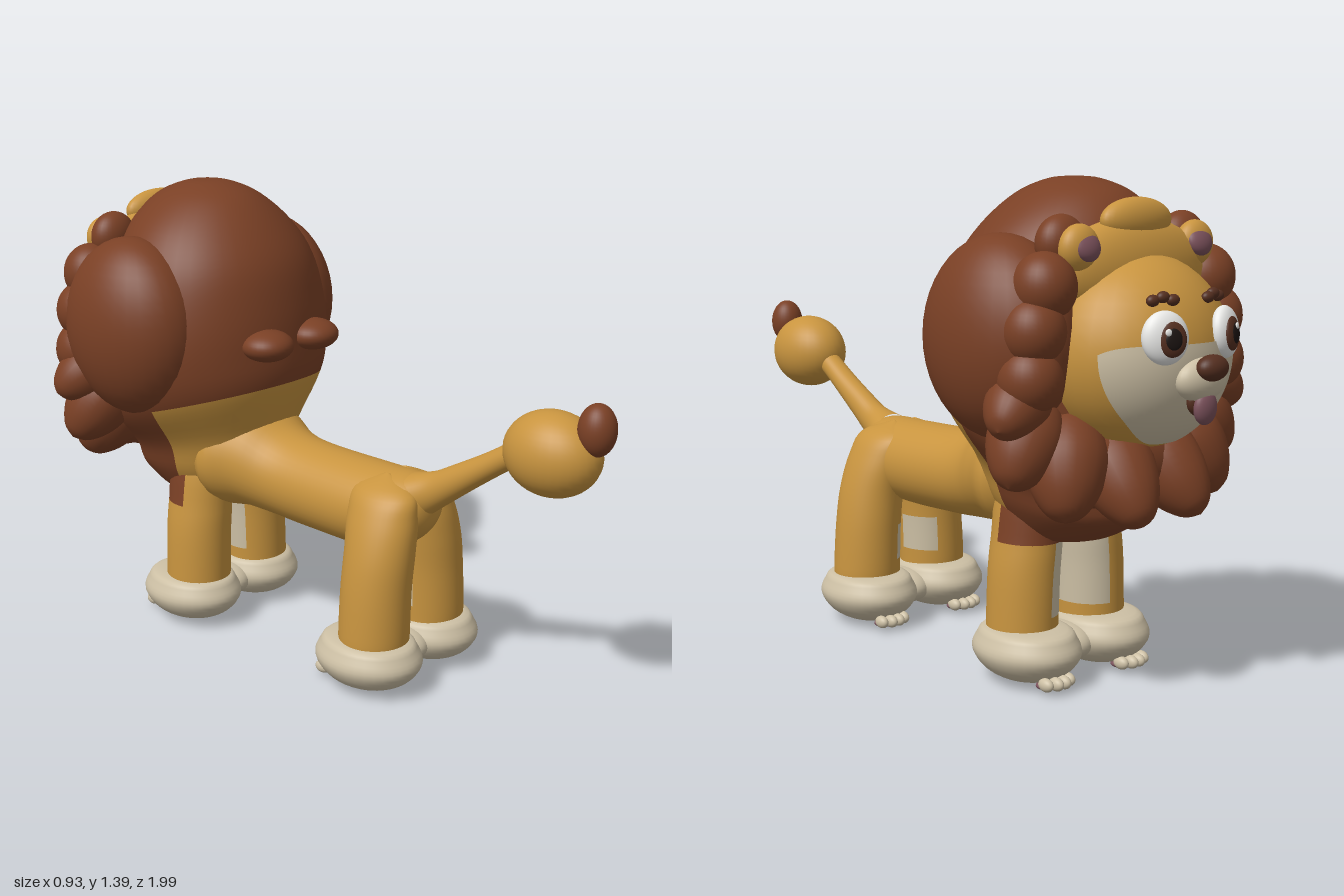
import * as THREE from 'three';

const mat = (name, color) => Object.assign(new THREE.MeshStandardMaterial({ color }), { name });
const fur = mat('golden fur', 0xc8943f);
const brown = mat('mane brown', 0x7a4025);
const cream = mat('cream', 0xcdc0a5);
const mauve = mat('mauve', 0x7c525c);
const white = mat('eye white', 0xeeeeec);
const dark = mat('dark brown', 0x552f20);
const black = mat('pupil black', 0x1c1412);

const N = 40, SUB = 5;

// Catmull-Rom blend of station rows
function blend(st, t) {
  const i = Math.min(Math.floor(t), st.length - 2), f = t - i;
  const at = k => st[Math.max(0, Math.min(st.length - 1, k))];
  const [p, q, r, s] = [at(i - 1), at(i), at(i + 1), at(i + 2)];
  return q.map((b, k) => b + 0.5 * f * (r[k] - p[k] + f * (2 * p[k] - 5 * b + 4 * r[k] - s[k] + f * (3 * (b - r[k]) + s[k] - p[k]))));
}

// Smooth skin over elliptical rings. Along y: [y, x, z, rx, rz, tilt]; along z (front going): [z, x, y, rx, ry]
// pick(t, cos, sin) returns the index of the material for a face
function loft(name, axis, st, mats, pick = () => 0) {
  const rings = (st.length - 1) * SUB, pos = [], parts = mats.map(() => []);
  for (let i = 0; i <= rings; i++) {
    const [c, x, d, rx, r, tilt = 0] = blend(st, i / SUB);
    for (let j = 0; j < N; j++) {
      const a = j / N * Math.PI * 2, u = x + Math.max(rx, 0.0005) * Math.cos(a), v = Math.max(r, 0.0005) * Math.sin(a);
      if (axis === 'y') pos.push(u, c + tilt * v, d + v);
      else pos.push(u, d + v, c);
    }
  }
  for (let i = 0; i < rings; i++) for (let j = 0; j < N; j++) {
    const a = (j + 0.5) / N * Math.PI * 2, k = (j + 1) % N;
    const p = i * N + j, q = p + N, r = i * N + k, s = r + N;
    parts[pick((i + 0.5) / SUB, Math.cos(a), Math.sin(a))].push(p, q, r, r, q, s);
  }
  const g = new THREE.BufferGeometry();
  g.setAttribute('position', new THREE.Float32BufferAttribute(pos, 3));
  g.setIndex(parts.flat());
  let start = 0;
  parts.forEach((p, i) => { g.addGroup(start, p.length, i); start += p.length; });
  g.computeVertexNormals();
  const m = new THREE.Mesh(g, mats);
  m.name = name;
  return m;
}

const ball = new THREE.SphereGeometry(1, 32, 22);
function blob(name, material, p, r, rot = [0, 0, 0], geo = ball) {
  const m = new THREE.Mesh(geo, material);
  m.name = name;
  m.position.set(...p);
  m.scale.set(...r);
  m.rotation.set(...rot);
  return m;
}

const lathe = (pts, seg) => new THREE.LatheGeometry(new THREE.SplineCurve(pts.map(p => new THREE.Vector2(...p)))
  .getPoints(24).map(p => new THREE.Vector2(Math.max(p.x, 0), p.y)), seg);
const pawGeo = lathe([[0, 0.005], [0.06, 0.013], [0.112, 0.042], [0.14, 0.088], [0.129, 0.128], [0.103, 0.155], [0, 0.16]], 36);

// Teardrop lock of hair from base to tip
const lockGeo = lathe([[0, -0.35], [0.7, -0.2], [1, 0.2], [0.85, 0.6], [0.45, 0.9], [0, 1]], 24);
function lock(base, tip, w) {
  const d = new THREE.Vector3(...tip).sub(new THREE.Vector3(...base));
  const m = blob('maneLock', brown, base, [w, d.length(), w], [0, 0, 0], lockGeo);
  m.quaternion.setFromUnitVectors(new THREE.Vector3(0, 1, 0), d.normalize());
  return m;
}

// Rounded pale patch wrapped on the unit sphere's front (-z)
function maskGeometry() {
  const g = new THREE.PlaneGeometry(2, 1, 36, 18), p = g.attributes.position, d = THREE.MathUtils.degToRad;
  for (let i = 0; i < p.count; i++) {
    const u = p.getX(i), v = p.getY(i) + 0.5;
    const phi = d(u * (62 - 16 * (1 - v) ** 2)), low = -60 + 22 * u ** 4, e = d(low + (9 - 5 * u ** 6 - low) * v);
    p.setXYZ(i, -Math.sin(phi) * Math.cos(e), Math.sin(e), -Math.cos(phi) * Math.cos(e));
  }
  g.computeVertexNormals();
  return g;
}

function leg(s, z, footZ, front) {
  const g = new THREE.Group();
  g.name = front ? 'frontLeg' : 'hindLeg';
  const st = front
    ? [[0.14, s * 0.13, z, 0.1, 0.103], [0.17, s * 0.13, z, 0.1, 0.103], [0.3, s * 0.125, z, 0.099, 0.104], [0.4, s * 0.115, z, 0.095, 0.105], [0.55, s * 0.1, z, 0.08, 0.1], [0.6, s * 0.09, z, 0, 0]]
    : [[0.14, s * 0.13, z, 0.103, 0.103], [0.18, s * 0.13, z, 0.103, 0.105], [0.31, s * 0.123, z, 0.1, 0.105], [0.42, s * 0.108, z, 0.096, 0.107], [0.52, s * 0.085, z - 0.01, 0.085, 0.112], [0.59, s * 0.065, z - 0.02, 0.06, 0.1], [0.63, s * 0.04, z - 0.03, 0, 0]];
  // pale patch on the inner face, brown chest fur over the front of the shoulder
  g.add(loft('legSkin', 'y', st, [fur, cream, brown], (t, c, n) => {
    const inner = -s * c * 0.9 - n * 0.43;
    if (front && t > 3 && n < 0.1) return 2;
    return t > 1.2 && t < (front ? 3 : 2) && inner > (front ? 0.6 : 0.78) ? 1 : 0;
  }));
  g.add(blob('paw', cream, [s * 0.135, 0, footZ], [1, 1, 1.2], [0, 0, 0], pawGeo));
  g.add(blob('pawPad', mauve, [s * 0.145, 0.014, footZ - 0.1], [0.038, 0.013, 0.03]));
  for (let i = 0; i < 4; i++) {
    const k = i - 1.5;
    g.add(blob('claw', cream, [s * 0.145 + k * 0.027, 0.03, footZ - 0.152 + Math.abs(k) * 0.012], [0.016, 0.019, 0.026]));
  }
  return g;
}

export function createModel() {
  const lion = new THREE.Group();
  lion.name = 'lion';

  // Torso and tail
  lion.add(loft('torso', 'z', [
    [0.435, 0, 0.54, 0, 0], [0.42, 0, 0.54, 0.06, 0.06], [0.36, 0, 0.525, 0.115, 0.105], [0.25, 0, 0.505, 0.135, 0.127],
    [0, 0, 0.51, 0.135, 0.13], [-0.12, 0, 0.525, 0.145, 0.137], [-0.22, 0, 0.555, 0.175, 0.16], [-0.34, 0, 0.56, 0.2, 0.16], [-0.45, 0, 0.56, 0, 0],
  ], [fur]));
  lion.add(loft('tail', 'z', [
    [0.76, 0, 0.79, 0.04, 0.035], [0.7, 0, 0.765, 0.037, 0.04], [0.6, 0, 0.7, 0.04, 0.045], [0.5, 0, 0.635, 0.044, 0.055],
    [0.43, 0, 0.59, 0.052, 0.064], [0.36, 0, 0.55, 0.085, 0.085],
  ], [fur]));
  lion.add(blob('tailBall', fur, [0, 0.795, 0.82], [0.11, 0.118, 0.142]));
  lion.add(blob('tailTip', brown, [0.005, 0.885, 0.948], [0.052, 0.072, 0.052]));

  // Legs, with the paws joined in the middle
  for (const [z, footZ, front] of [[0.325, 0.31, false], [-0.405, -0.43, true]]) {
    for (const s of [-1, 1]) lion.add(leg(s, z, footZ, front));
    lion.add(blob('pawBridge', cream, [0, 0.088, footZ], [0.08, 0.055, 0.1]));
  }

  // Neck, chest and mane share one skin: brown chest in front, golden nape behind, brown mane above
  lion.add(loft('neckAndMane', 'y', [
    [0.39, 0, -0.44, 0, 0, 0], [0.41, 0, -0.45, 0.13, 0.13, 0], [0.5, 0, -0.45, 0.205, 0.24, 0.1], [0.6, 0, -0.44, 0.245, 0.27, 0.2],
    [0.725, 0, -0.43, 0.335, 0.315, 0.28], [0.85, 0, -0.435, 0.37, 0.325, 0.22], [1.0, 0, -0.44, 0.365, 0.32, 0.12],
    [1.15, 0, -0.44, 0.325, 0.29, 0.04], [1.26, 0, -0.45, 0.258, 0.24, 0], [1.345, 0, -0.46, 0.16, 0.165, 0], [1.385, 0, -0.46, 0.07, 0.075, 0], [1.392, 0, -0.46, 0, 0, 0],
  ], [fur, brown], (t, c, n) => t > 4 || n < 0.15 ? 1 : 0));

  // Mane lobes and locks, mirrored
  for (const s of [-1, 1]) {
    lion.add(blob('maneSideLobe', brown, [s * 0.29, 0.98, -0.49], [0.175, 0.27, 0.24]));
    lion.add(blob('maneBackCurl', brown, [s * 0.1, 0.945, -0.12], [0.08, 0.047, 0.08]));
    lion.add(blob('maneTopCurl', brown, [s * 0.225, 1.225, -0.645], [0.075, 0.075, 0.055]));
    [[0.3, 1.12], [0.335, 1.01], [0.345, 0.89]].forEach(([x, y]) =>
      lion.add(blob('maneCheekCurl', brown, [s * x, y, -0.665], [0.085, 0.09, 0.085])));
    lion.add(lock([s * 0.32, 0.85, -0.62], [s * 0.455, 0.77, -0.67], 0.085));
    lion.add(lock([s * 0.29, 0.77, -0.61], [s * 0.41, 0.62, -0.66], 0.1));
    lion.add(lock([s * 0.2, 0.72, -0.65], [s * 0.29, 0.53, -0.74], 0.11));
    lion.add(lock([s * 0.08, 0.69, -0.67], [s * 0.11, 0.51, -0.84], 0.105));
  }
  lion.add(blob('maneBib', brown, [0, 0.65, -0.67], [0.31, 0.13, 0.12]));

  // Face and crown
  const faceAt = [0, 0.94, -0.69];
  lion.add(blob('face', fur, faceAt, [0.275, 0.262, 0.237]));
  lion.add(blob('crown', fur, [0, 1.15, -0.675], [0.265, 0.14, 0.085]));
  lion.add(blob('foreheadTuft', fur, [0, 1.28, -0.69], [0.125, 0.06, 0.045]));
  lion.add(blob('muzzleMask', cream, faceAt, [0.279, 0.266, 0.241], [0, 0, 0], maskGeometry()));
  lion.add(blob('muzzle', cream, [0, 0.89, -0.922], [0.085, 0.058, 0.045]));
  lion.add(blob('nose', dark, [0, 0.922, -0.96], [0.05, 0.034, 0.033]));
  lion.add(blob('mouth', dark, [0, 0.835, -0.922], [0.045, 0.04, 0.02]));
  lion.add(blob('tongue', mauve, [0, 0.82, -0.94], [0.038, 0.045, 0.022]));
  lion.add(blob('teeth', white, [0, 0.86, -0.945], [0.03, 0.01, 0.01]));

  for (const s of [-1, 1]) {
    // Ears
    lion.add(blob('ear', fur, [s * 0.215, 1.215, -0.7], [0.062, 0.062, 0.04]));
    lion.add(blob('innerEar', mauve, [s * 0.21, 1.22, -0.722], [0.044, 0.04, 0.024], [0.35, 0, 0]));
    // Eyes, turned slightly outward
    const eye = new THREE.Group();
    eye.name = 'eye';
    eye.position.set(s * 0.112, 1.0, -0.902);
    eye.rotation.set(0.1, -s * 0.35, 0);
    eye.add(blob('eyeball', white, [0, 0, 0], [0.064, 0.068, 0.032]));
    eye.add(blob('iris', dark, [-s * 0.008, -0.004, -0.022], [0.04, 0.045, 0.014]));
    eye.add(blob('pupil', black, [-s * 0.008, -0.004, -0.031], [0.024, 0.028, 0.008]));
    eye.add(blob('eyeGlint', white, [0.008, 0.014, -0.037], [0.009, 0.009, 0.004]));
    lion.add(eye);
    // Brows made of three small tufts
    for (let i = 0; i < 3; i++)
      lion.add(blob('brow', dark, [s * (0.065 + i * 0.028), 1.09 + (i === 1 ? 0.008 : 0), -0.883 + i * 0.008], [0.02, 0.015, 0.014]));
  }
  return lion;
}
